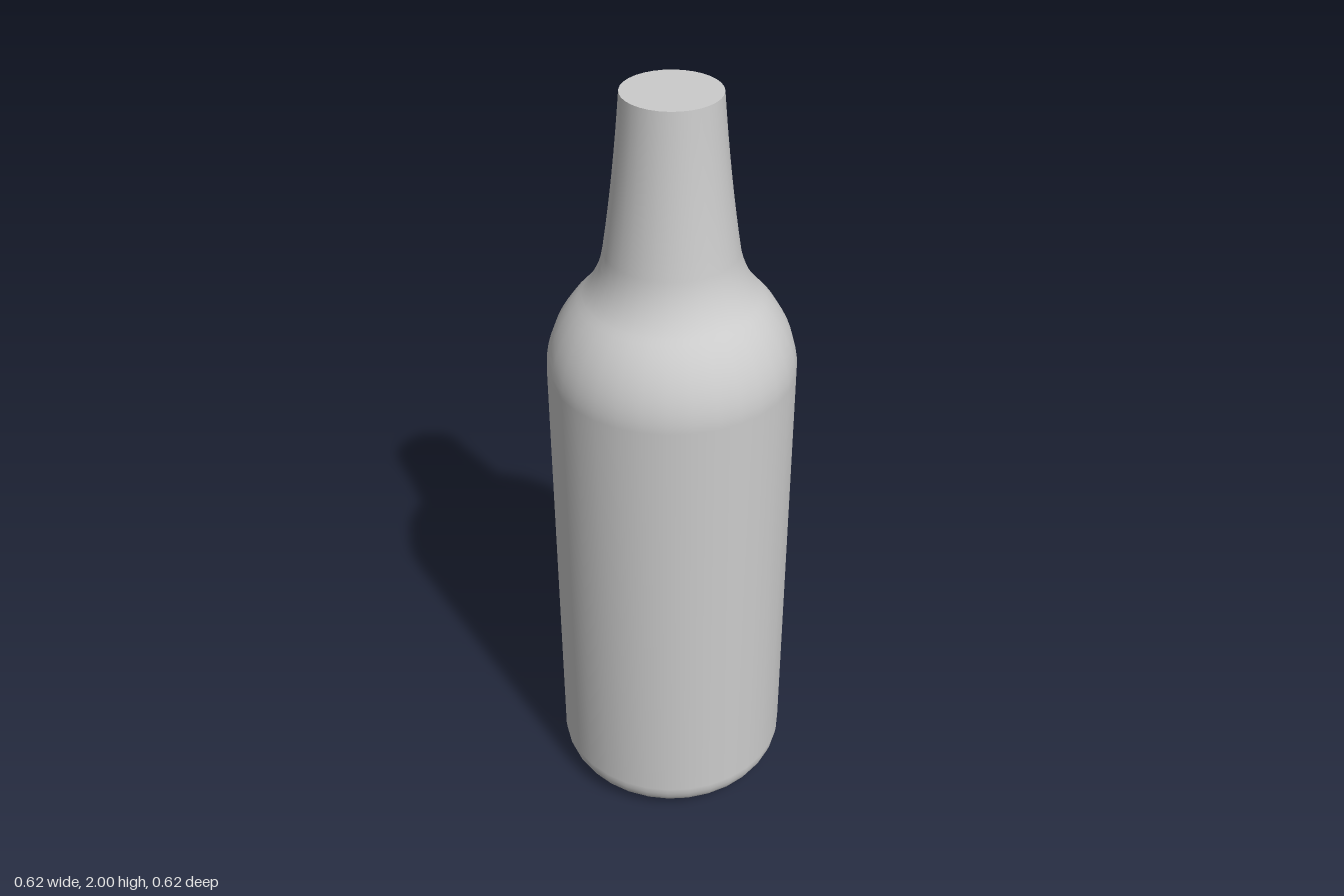
import * as THREE from 'three';

const SEGMENTS = 32;
const BODY_R = 0.308, BASE_R = 0.215, MOUTH_R = 0.118, HEIGHT = 2;
const v = (x, y) => new THREE.Vector2(x, y);

export function createModel() {
  const group = new THREE.Group();
  group.name = 'bottle';
  const material = new THREE.MeshStandardMaterial({ color: 0xcccccc });

  // Outline from the base centre up to the mouth: base fillet, wall, shoulder, neck
  const fillet = BODY_R - BASE_R;
  const curves = [
    new THREE.CubicBezierCurve(v(BASE_R, 0), v(BASE_R + fillet * 0.55, 0), v(BODY_R, fillet * 0.45), v(BODY_R, fillet)),
    new THREE.CubicBezierCurve(v(BODY_R, 1.29), v(BODY_R, 1.36), v(0.275, 1.43), v(0.228, 1.48)),
    new THREE.CubicBezierCurve(v(0.228, 1.48), v(0.197, 1.51), v(0.172, 1.555), v(0.163, 1.61)),
    new THREE.CubicBezierCurve(v(0.163, 1.61), v(0.144, 1.73), v(0.129, 1.86), v(MOUTH_R, HEIGHT)),
  ];
  const profile = [v(0, 0)];
  curves.forEach((curve, i) => {
    const points = curve.getPoints(8);
    profile.push(...(i > 1 ? points.slice(1) : points)); // skip shared joints
  });

  const body = new THREE.Mesh(new THREE.LatheGeometry(profile, SEGMENTS), material);
  body.name = 'bottleBody';
  group.add(body);

  // Flat closed mouth with a sharp rim
  const mouth = new THREE.Mesh(new THREE.CircleGeometry(MOUTH_R, SEGMENTS).rotateX(-Math.PI / 2), material);
  mouth.name = 'mouthCap';
  mouth.position.y = HEIGHT;
  group.add(mouth);

  return group;
}
